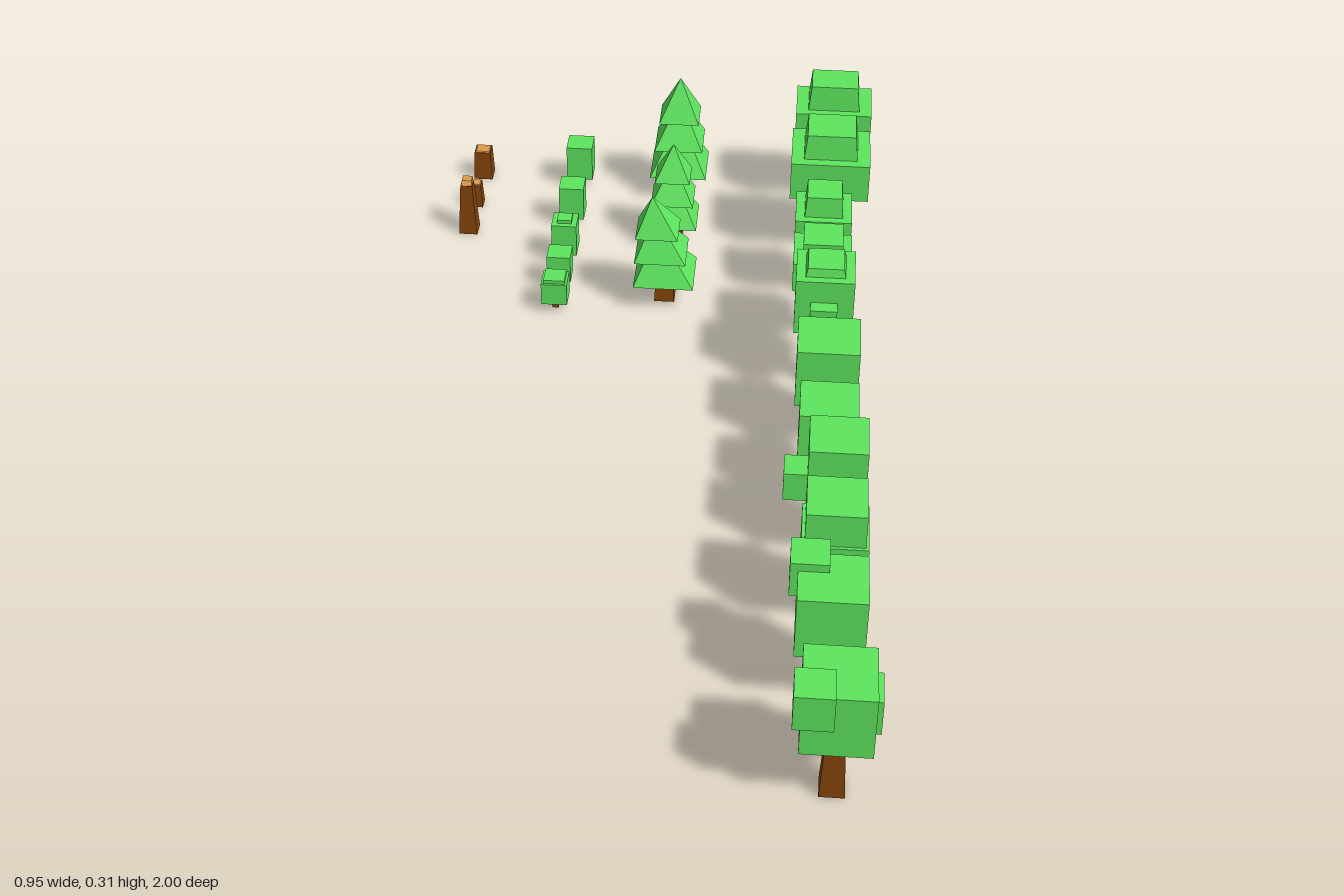
import * as THREE from 'three';

const leaf = new THREE.MeshStandardMaterial({ color: 0x5ee65e, flatShading: true });
const bark = new THREE.MeshStandardMaterial({ color: 0x84450a, flatShading: true });
const cut = new THREE.MeshStandardMaterial({ color: 0xdf9a4a, flatShading: true });

// Four-sided block whose top is scaled and shifted relative to its bottom
function block(name, material, { x, y, z, w, h, d = w, top = 1, dx = 0, dz = 0 }) {
  const g = new THREE.BoxGeometry(w, h, d).translate(0, h / 2, 0);
  const p = g.attributes.position;
  for (let i = 0; i < p.count; i++) {
    if (p.getY(i) > h / 2) p.setXYZ(i, p.getX(i) * top + dx, h, p.getZ(i) * top + dz);
  }
  g.computeVertexNormals();
  const mesh = new THREE.Mesh(g, material);
  mesh.name = name;
  mesh.position.set(x, y, z);
  return mesh;
}

function group(name, ...parts) {
  const g = new THREE.Group();
  g.name = name;
  return g.add(...parts);
}

const trunk = (x, z, w, h, dz = 0) => block('trunk', bark, { x, y: 0, z, w, h, top: 0.68, dz });

// Branch leaving the trunk top towards (dx, dz)
const branch = (x, y, z, dx, dz, w = 0.03) =>
  block('branch', bark, { x, y, z, w, h: 0.085, top: 0.75, dx, dz });

// Small cube of leaves beside a crown, placed by its centre
const sideLeaves = (x, y, z, w) =>
  block('sideLeaves', leaf, { x, y: y - w * 0.54, z, w, h: w * 1.08 });

// Wide crown with a smaller cap on top
function cappedTree({ x, z, w, d = w, low, mid, high, trunkW = 0.046, lean = 0, forked = false, cap = 0.9 }) {
  const g = group('cappedTree',
    trunk(x, z - lean, trunkW, forked ? 0.09 : low + 0.015, lean),
    block('crown', leaf, { x, y: low, z, w, h: mid - low, d }),
    block('crownCap', leaf, { x, y: mid, z, w: w * 0.68, h: high - mid, d: d * 0.7, top: cap }));
  if (forked) for (const s of [-1, 1]) g.add(branch(x, 0.085, z, s * 0.034, 0));
  return g;
}

// Cube crown on a straight trunk
const cubeTree = ({ x, z, w, low, high, trunkZ = z, trunkH = low + 0.015 }, ...extras) =>
  group('cubeTree',
    trunk(x, trunkZ, 0.044, trunkH),
    block('crown', leaf, { x, y: low, z, w, h: high - low }),
    ...extras);

// Pine: three stacked pyramids, shifting by (lx, lz) towards the tip
function pine(z, half, low, height, lx = 0, lz = 0) {
  const x = 0.015, full = height - low;
  const g = group('pine', block('trunk', bark, { x, y: 0, z, w: 0.044, h: low + 0.01, top: 0.82 }));
  for (let i = 0; i < 3; i++) {
    const from = 0.29 * i, to = 0.56 + 0.22 * i;
    g.add(block('pineTier', leaf, {
      x: x + lx * from, y: low + full * from, z: z + lz * from,
      w: 2 * half * (1 - 0.15 * i), h: full * (to - from), top: 0.01,
      dx: lx * (to - from), dz: lz * (to - from),
    }));
  }
  return g;
}

// Shrub: leaf block on a thin stem, optionally with a low cap
function shrub(z, w, high, cap = 0) {
  const x = -0.22, low = 0.022;
  const g = group('shrub',
    block('stem', bark, { x, y: 0, z, w: 0.014, h: 0.03 }),
    block('shrubLeaves', leaf, { x, y: low, z, w, h: high - low }));
  if (cap) g.add(block('shrubCap', leaf, { x, y: high, z, w: cap, h: 0.008 }));
  return g;
}

// Stump: tapered bark with a pale cut face, which may slope back
function stump(z, w, h, top, cutH = 0.002) {
  const x = -0.454, cutW = w * top * 0.9;
  return group('stump',
    block('stumpBark', bark, { x, y: 0, z, w, h, top }),
    block('cutTop', cut, { x, y: h, z, w: cutW, h: cutH, top: 0.9, dz: -cutH / 2 }));
}

export function createModel() {
  // Leafy row, back half: capped crowns
  const capped = group('cappedTrees',
    cappedTree({ x: 0.368, z: -0.925, w: 0.17, d: 0.13, low: 0.165, mid: 0.255, high: 0.312, trunkW: 0.056, lean: 0.01, forked: true }),
    cappedTree({ x: 0.364, z: -0.717, w: 0.172, d: 0.155, low: 0.167, mid: 0.255, high: 0.311, trunkW: 0.05, forked: true }),
    cappedTree({ x: 0.353, z: -0.522, w: 0.12, low: 0.16, mid: 0.222, high: 0.268 }),
    cappedTree({ x: 0.353, z: -0.345, w: 0.12, low: 0.164, mid: 0.23, high: 0.268, lean: 0.053, cap: 1 }),
    cappedTree({ x: 0.359, z: -0.197, w: 0.118, low: 0.162, mid: 0.288, high: 0.306 }),
    sideLeaves(0.358, 0.21, -0.135, 0.054));

  // Leafy row, front half: cube crowns with side cubes
  const cubes = group('cubeTrees',
    cubeTree({ x: 0.37, z: -0.01, w: 0.122, low: 0.122, high: 0.252 }),
    cubeTree({ x: 0.374, z: 0.172, w: 0.111, low: 0.122, high: 0.235, trunkZ: 0.148, trunkH: 0.08 },
      branch(0.374, 0.07, 0.148, 0, 0.035, 0.027),
      branch(0.374, 0.07, 0.148, 0, -0.04, 0.027),
      sideLeaves(0.372, 0.155, 0.098, 0.06)),
    cubeTree({ x: 0.392, z: 0.325, w: 0.108, low: 0.122, high: 0.273 },
      branch(0.382, 0.07, 0.322, -0.055, -0.005),
      sideLeaves(0.323, 0.16, 0.317, 0.057)),
    cubeTree({ x: 0.39, z: 0.512, w: 0.119, low: 0.14, high: 0.215 },
      block('upperCrown', leaf, { x: 0.39, y: 0.215, z: 0.512, w: 0.107, h: 0.069 })),
    cubeTree({ x: 0.386, z: 0.705, w: 0.12, low: 0.14, high: 0.268 },
      sideLeaves(0.346, 0.248, 0.659, 0.067)),
    cubeTree({ x: 0.4, z: 0.925, w: 0.121, low: 0.14, high: 0.268 },
      sideLeaves(0.44, 0.165, 0.887, 0.068),
      sideLeaves(0.36, 0.245, 0.966, 0.067)));

  const pines = group('pines',
    pine(-0.934, 0.065, 0.062, 0.292),
    pine(-0.717, 0.056, 0.055, 0.245),
    pine(-0.48, 0.065, 0.062, 0.27, -0.026, 0.025));

  const shrubs = group('shrubs',
    shrub(-0.943, 0.06, 0.106),
    shrub(-0.767, 0.056, 0.102),
    shrub(-0.617, 0.056, 0.098, 0.032),
    shrub(-0.51, 0.052, 0.084),
    shrub(-0.422, 0.056, 0.073, 0.046));

  const stumps = group('stumps',
    stump(-0.952, 0.044, 0.07, 0.85),
    stump(-0.822, 0.034, 0.056, 0.8),
    stump(-0.71, 0.042, 0.124, 0.64, 0.01));

  return group('treeSet', capped, cubes, pines, shrubs, stumps);
}
